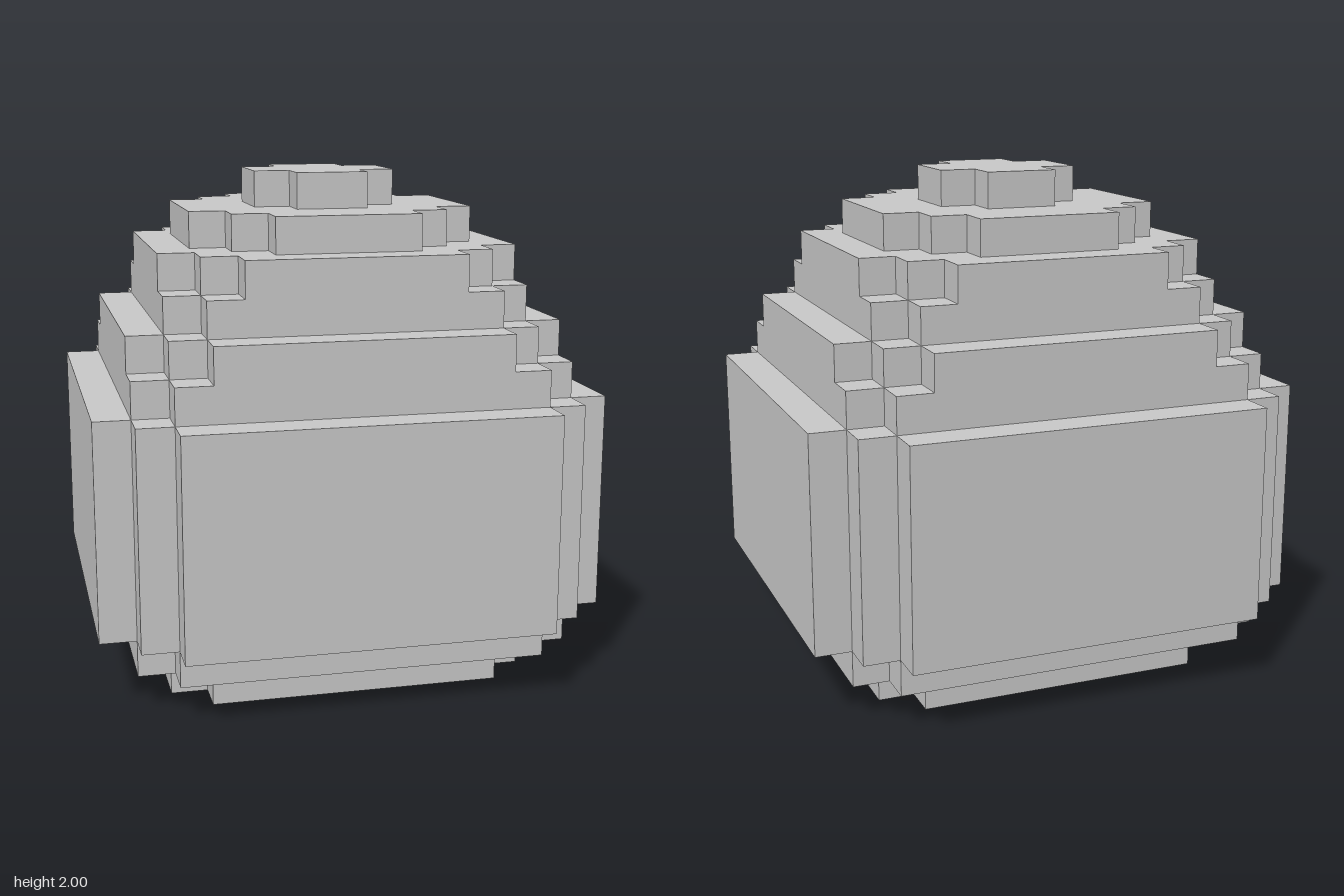
import * as THREE from 'three';

const U = 1 / 7; // edge of one block

// Each tier: name, bottom and top level, and the stepped corner (half width, half depth) in blocks
const TIERS = [
  ['base', 0, 1, [[5, 4], [4, 5]]],
  ['lowerRim', 1, 2, [[6, 5], [5, 6]]],
  ['body', 2, 8, [[7, 5], [6, 6], [5, 7]]],
  ['lowerShoulder', 8, 9, [[6, 5], [5, 6]]],
  ['upperShoulder', 9, 10, [[6, 4], [5, 5], [4, 6]]],
  ['lowerDome', 10, 11, [[5, 4], [4, 5]]],
  ['upperDome', 11, 12, [[5, 3], [4, 4], [3, 5]]],
  ['crown', 12, 13, [[4, 2], [3, 3], [2, 4]]],
  ['tip', 13, 14, [[2, 1], [1, 2]]],
];

// Stepped outline: one corner staircase turned through four quarter turns
function steppedOutline(steps) {
  const corner = [];
  steps.forEach(([a, b], i) => {
    corner.push([a, b]);
    if (i < steps.length - 1) corner.push([steps[i + 1][0], b]);
  });
  const points = [];
  for (let q = 0; q < 4; q++) {
    for (const [a, b] of corner) {
      let [x, y] = [a, b];
      for (let k = 0; k < q; k++) [x, y] = [-y, x];
      points.push(new THREE.Vector2(x * U, y * U));
    }
  }
  return new THREE.Shape(points);
}

export function createModel() {
  const group = new THREE.Group();
  group.name = 'blockEgg';
  const material = new THREE.MeshStandardMaterial({ color: 0xcccccc, flatShading: true });

  // Stack the tiers from the ground up
  for (const [name, bottom, top, steps] of TIERS) {
    const geometry = new THREE.ExtrudeGeometry(steppedOutline(steps), {
      depth: (top - bottom) * U,
      bevelEnabled: false,
    });
    geometry.rotateX(-Math.PI / 2);
    const mesh = new THREE.Mesh(geometry, material);
    mesh.name = name;
    mesh.position.y = bottom * U;
    group.add(mesh);
  }
  return group;
}
